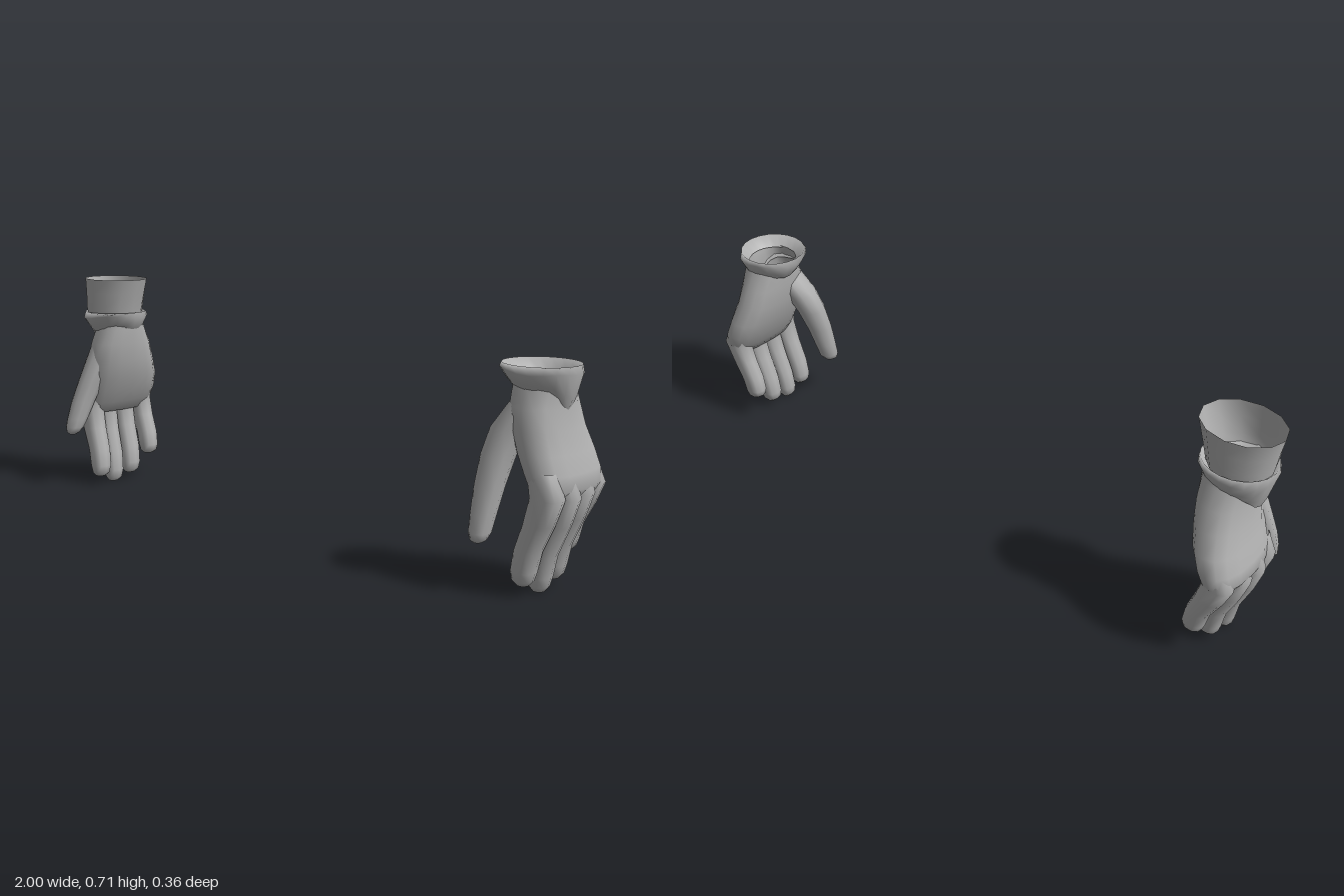
import * as THREE from 'three';

const cloth = new THREE.MeshStandardMaterial({ color: 0xb2b2b2, side: THREE.DoubleSide });
cloth.name = 'grey cloth';

// Skin over level rings, listed top to bottom: [y, out, z, radiusOut, radiusZ].
// "out" is the distance from x = 0; side is +1 or -1. offset(angle, ring) shifts points in y.
function loft(name, side, rings, { sides = 12, power = 1, closed = false, offset = () => 0 } = {}) {
  const pos = [], index = [];
  const soft = (v) => Math.sign(v) * Math.abs(v) ** power;
  const tri = (a, b, c) => (side > 0 ? index.push(a, b, c) : index.push(a, c, b));
  rings.forEach(([y, out, z, rOut, rZ], i) => {
    for (let j = 0; j < sides; j++) {
      const a = (j / sides) * Math.PI * 2;
      pos.push(side * (out + rOut * soft(Math.cos(a))), y + offset(a, i), z + rZ * soft(Math.sin(a)));
    }
  });
  const last = rings.length - 1;
  for (let j = 0; j < sides; j++) {
    const k = (j + 1) % sides;
    for (let i = 0; i < last; i++) {
      const a = i * sides, b = a + sides;
      tri(a + j, a + k, b + j);
      tri(a + k, b + k, b + j);
    }
    if (closed) tri(last * sides + j, last * sides + k, rings.length * sides);
  }
  if (closed) pos.push(side * rings[last][1], rings[last][0], rings[last][2]);
  const geo = new THREE.BufferGeometry();
  geo.setAttribute('position', new THREE.Float32BufferAttribute(pos, 3));
  geo.setIndex(index);
  geo.computeVertexNormals();
  const mesh = new THREE.Mesh(geo, cloth);
  mesh.name = name;
  return mesh;
}

// Wrist, back of the hand and palm
const PALM = [
  [0.57, 0.872, -0.01, 0.078, 0.075],
  [0.54, 0.87, -0.012, 0.075, 0.083],
  [0.49, 0.872, -0.014, 0.073, 0.108],
  [0.43, 0.88, -0.022, 0.072, 0.122],
  [0.37, 0.896, -0.035, 0.07, 0.135],
  [0.32, 0.915, -0.04, 0.066, 0.139],
  [0.28, 0.928, -0.04, 0.058, 0.134],
  [0.245, 0.93, -0.038, 0.035, 0.115],
];

// Fingers: knuckle z, tip z, tip y, half width, outward shift
const FINGERS = [
  ['indexFinger', 0.064, 0.077, 0.028, 0.035, 0],
  ['middleFinger', 0.0, 0.016, 0.0, 0.033, 0.008],
  ['ringFinger', -0.068, -0.055, 0.02, 0.035, 0.004],
  ['littleFinger', -0.138, -0.13, 0.08, 0.033, -0.008],
];

function finger(side, [name, z0, z1, tip, r, shift]) {
  const top = 0.33, h = top - tip;
  // fraction of length, out, thickness, width factor
  const rows = [
    [0, 0.922, 0.04, 0.9], [0.22, 0.942, 0.046, 1.1], [0.45, 0.922, 0.042, 1.02],
    [0.7, 0.893, 0.036, 1], [0.88, 0.884, 0.034, 0.95], [0.96, 0.883, 0.028, 0.8], [1, 0.884, 0.016, 0.5],
  ];
  const rings = rows.map(([t, out, thick, w]) =>
    [top - h * t, out + shift, z0 + (z1 - z0) * t, thick, r * w]);
  return loft(name, side, rings, { sides: 10, power: 0.85, closed: true });
}

const THUMBS = {
  // spread away from the palm
  left: [
    [0.5, 0.85, 0.03, 0.045, 0.05], [0.43, 0.815, 0.055, 0.052, 0.052], [0.36, 0.798, 0.08, 0.046, 0.048],
    [0.28, 0.79, 0.104, 0.04, 0.042], [0.21, 0.785, 0.12, 0.034, 0.037], [0.16, 0.783, 0.132, 0.029, 0.033],
    [0.142, 0.783, 0.138, 0.022, 0.024], [0.135, 0.783, 0.14, 0.012, 0.013],
  ],
  // held along the hand
  right: [
    [0.5, 0.885, 0.03, 0.045, 0.055], [0.43, 0.895, 0.06, 0.05, 0.05], [0.36, 0.908, 0.09, 0.045, 0.045],
    [0.29, 0.92, 0.118, 0.042, 0.04], [0.235, 0.926, 0.138, 0.038, 0.035], [0.205, 0.928, 0.15, 0.034, 0.029],
    [0.188, 0.928, 0.158, 0.025, 0.02], [0.18, 0.928, 0.16, 0.012, 0.01],
  ],
};

// Turned-back cuff whose hem dips to a point on the outer side
function cuff(side, out) {
  const rings = [
    [0.565, out, -0.008, 0.075, 0.075],
    [0.598, out, -0.004, 0.105, 0.1],
    [0.582, out, -0.004, 0.108, 0.109],
    [0.552, out, -0.008, 0.092, 0.09],
    [0.535, out, -0.01, 0.079, 0.078],
  ];
  const dip = [0, 0, 0.012, 0.045, 0.06];
  const hem = (a, i) => -dip[i] * Math.max(0, Math.cos(a)) ** 5
    + (i > 1 ? 0.006 * Math.sin(3 * a + 1) : 0);
  return loft('cuff', side, rings, { sides: 20, offset: hem });
}

function glove(name, side, thumb, cuffOut) {
  const group = new THREE.Group();
  group.name = name;
  group.add(loft('hand', side, PALM, { sides: 16, power: 0.85, closed: true }));
  FINGERS.forEach((f) => group.add(finger(side, f)));
  group.add(loft('thumb', side, thumb, { sides: 10, closed: true }));
  group.add(cuff(side, cuffOut));
  return group;
}

export function createModel() {
  const model = new THREE.Group();
  model.name = 'pairOfGloves';
  model.add(glove('leftGlove', 1, THUMBS.left, 0.865));
  const right = glove('rightGlove', -1, THUMBS.right, 0.882);
  // Open sleeve end above the right cuff
  right.add(loft('sleeve', -1, [
    [0.71, 0.88, -0.008, 0.12, 0.098],
    [0.66, 0.882, -0.006, 0.108, 0.096],
    [0.61, 0.885, -0.004, 0.097, 0.095],
    [0.585, 0.885, -0.004, 0.092, 0.09],
  ], { sides: 12 }));
  model.add(right);
  return model;
}
